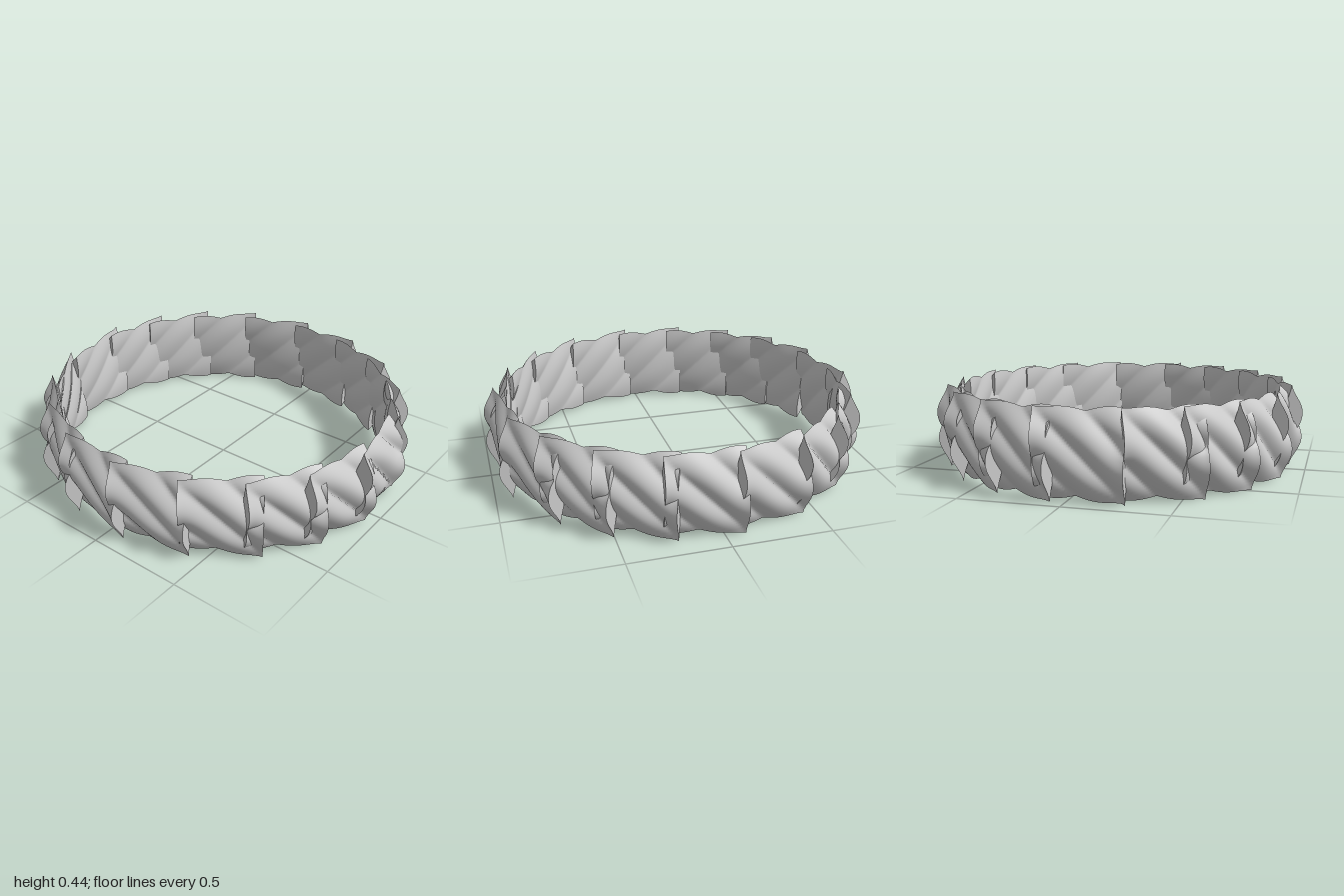
import * as THREE from 'three';

const material = new THREE.MeshStandardMaterial({ color: 0xcccccc, side: THREE.DoubleSide });
const HALF_H = 0.195, MID_Y = 0.23;

// One barrel-shaped tile of diagonal strands with a slight twist: a box whose vertices follow a rule
function tileGeometry(length) {
  const geo = new THREE.BoxGeometry(length, 2 * HALF_H, 2, 44, 36, 1);
  const p = geo.attributes.position;
  for (let i = 0; i < p.count; i++) {
    const x = p.getX(i), y = p.getY(i), outer = p.getZ(i) > 0;
    const u = x / (length / 2), v = y / HALF_H;
    const strand = Math.abs(Math.sin(Math.PI * (x + y) / 0.22));
    const lens = 1 - v * v, body = 1 - Math.pow(v, 4);
    // upper left and lower right lean outwards, the ends flare to a point at mid height
    const middle = -0.03 * u * v;
    const flare = 0.028 * Math.pow(Math.abs(u), 6) * (1 - Math.abs(v));
    const z = outer
      ? middle + 0.034 * lens + 0.034 * strand * body + flare
      : middle - 0.006 * lens - 0.014 * strand * body;
    // scalloped rims with a tip at two opposite corners
    const tip = Math.pow(Math.max(0, -u * v), 4);
    const rim = Math.pow(Math.abs(v), 4) * (0.02 * strand + 0.022 * tip);
    p.setXYZ(i, x, y + Math.sign(v) * rim, z);
  }
  geo.computeVertexNormals();
  return geo;
}

export function createModel() {
  const ring = new THREE.Group();
  ring.name = 'twistedRing';

  // Start angles of the tiles around half of the ring; the other half repeats them
  const starts = [-8.6, 17, 34.5, 53, 72.5, 93.5, 114.7, 133.5, 152];
  const wide = tileGeometry(0.42), narrow = tileGeometry(0.39);
  for (let half = 0; half < 2; half++) {
    starts.forEach((start, i) => {
      const tile = new THREE.Mesh(i === 0 ? wide : narrow, material);
      tile.name = 'ridgedTile';
      const angle = THREE.MathUtils.degToRad(start + (i === 0 ? 12.8 : 11.6) + half * 180);
      tile.position.set(0.865 * Math.sin(angle), MID_Y, 0.9 * Math.cos(angle));
      tile.rotation.y = angle;
      ring.add(tile);
    });
  }
  return ring;
}
